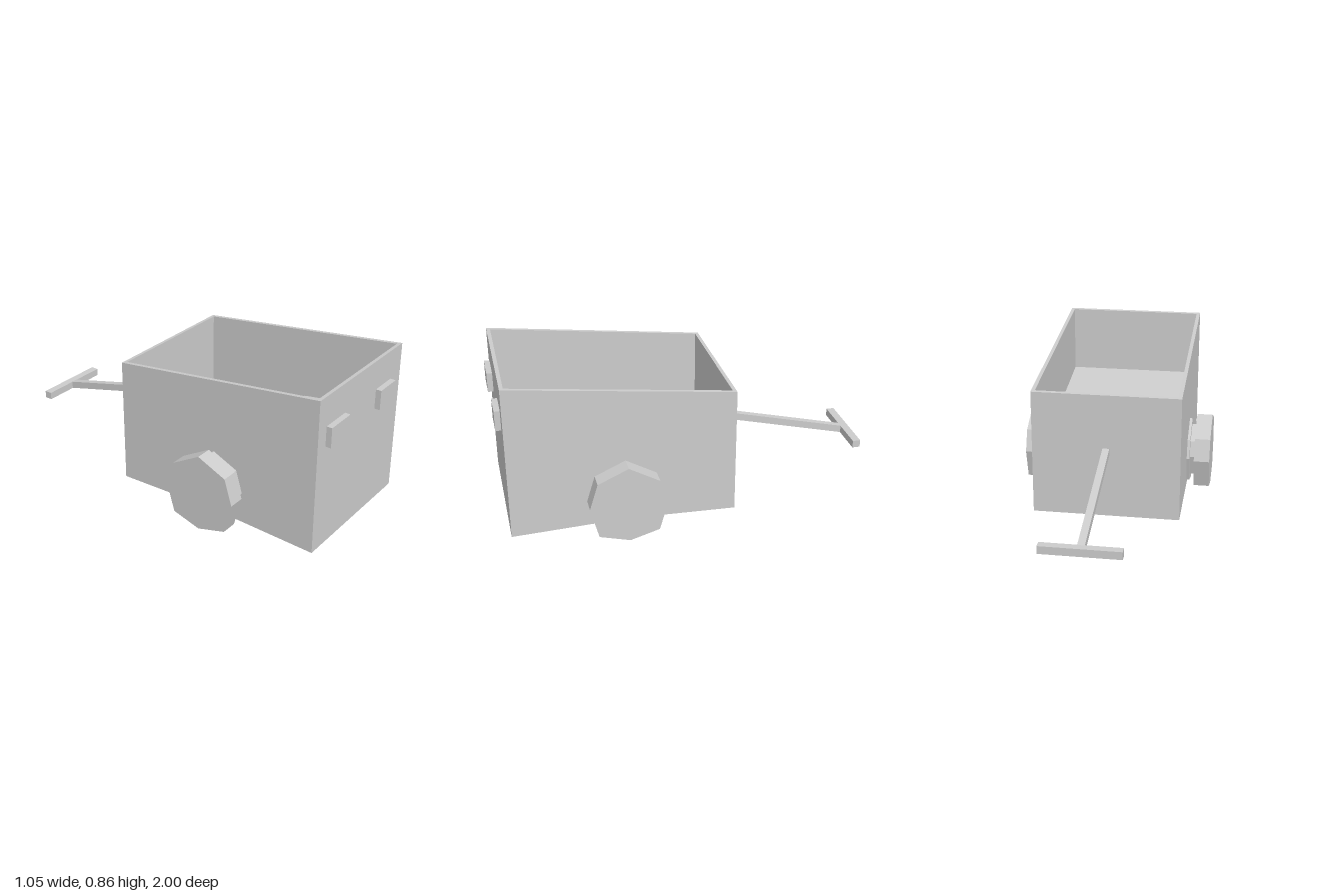
import * as THREE from 'three';

const material = new THREE.MeshStandardMaterial({ color: 0xcccccc, flatShading: true });

// Solid from a side profile of [z, y] points, spanning x0 to x1
function profileSolid(name, points, x0, x1) {
  const shape = new THREE.Shape(points.map(([z, y]) => new THREE.Vector2(z, y)));
  const geometry = new THREE.ExtrudeGeometry(shape, { depth: x1 - x0, bevelEnabled: false });
  geometry.rotateY(-Math.PI / 2).translate(x1, 0, 0);
  const mesh = new THREE.Mesh(geometry, material);
  mesh.name = name;
  return mesh;
}

function block(name, x0, x1, y0, y1, z0, z1) {
  const mesh = new THREE.Mesh(new THREE.BoxGeometry(x1 - x0, y1 - y0, z1 - z0), material);
  mesh.position.set((x0 + x1) / 2, (y0 + y1) / 2, (z0 + z1) / 2);
  mesh.name = name;
  return mesh;
}

export function createModel() {
  const model = new THREE.Group();
  model.name = 'handCart';

  const back = -0.215, front = 0.97, wall = 0.02, halfWidth = 0.398, bottom = 0.03;
  const inner = halfWidth - wall;
  const rim = (z) => 0.717 + (0.863 - 0.717) * (z - back) / (front - back);

  // Side walls, with the lower edge rising slightly to the axle line
  const sideProfile = [[back, bottom], [0.377, 0.05], [front, bottom], [front, rim(front)], [back, rim(back)]];
  model.add(profileSolid('leftWall', sideProfile, inner, halfWidth));
  model.add(profileSolid('rightWall', sideProfile, -halfWidth, -inner));

  // End walls under the sloping rim
  for (const [name, z0] of [['backWall', back], ['frontWall', front - wall]]) {
    const z1 = z0 + wall;
    model.add(profileSolid(name, [[z0, bottom], [z1, bottom], [z1, rim(z1)], [z0, rim(z0)]], -inner, inner));
  }

  // Stepped floor: low at the back, a steep riser, then a raised sloping shelf
  const floorTop = [[back + wall, 0.045], [0.37, 0.065], [0.43, 0.405], [front - wall, 0.485]];
  const floorUnder = [[front - wall, 0.47], [0.445, 0.39], [0.385, 0.05], [back + wall, 0.031]];
  model.add(profileSolid('floor', [...floorTop, ...floorUnder], -inner, inner));

  // Wheels: a slightly uneven octagon, repeated smaller for the hub and the mounting ring
  const cz = 0.377, cy = 0.212;
  const octagon = [[0, 0.211], [0.16, 0.14], [0.203, 0], [0.16, -0.167],
    [0, -0.212], [-0.155, -0.167], [-0.203, 0], [-0.16, 0.119]];
  const layers = [['tyre', 1, 0.44, 0.527], ['hub', 0.7, 0.41, 0.442], ['mountingRing', 0.865, 0.39, 0.413]];
  for (const side of [1, -1]) {
    const wheel = new THREE.Group();
    wheel.name = side > 0 ? 'leftWheel' : 'rightWheel';
    for (const [name, scale, near, far] of layers) {
      const points = octagon.map(([z, y]) => [cz + z * scale, cy + y * scale]);
      wheel.add(profileSolid(name, points, side > 0 ? near : -far, side > 0 ? far : -near));
    }
    model.add(wheel);
  }

  // Front reflector blocks
  model.add(block('rightReflector', -0.327, -0.157, 0.595, 0.702, front, 1));
  model.add(block('leftReflector', 0.147, 0.297, 0.595, 0.702, front, 1));

  // Pull handle: sloping shaft and crossbar
  model.add(profileSolid('handleShaft', [[-0.96, 0.193], [back, 0.38], [back, 0.42], [-0.96, 0.234]], -0.02, 0.017));
  model.add(block('handleBar', -0.205, 0.203, 0.193, 0.234, -1, -0.957));

  return model;
}
